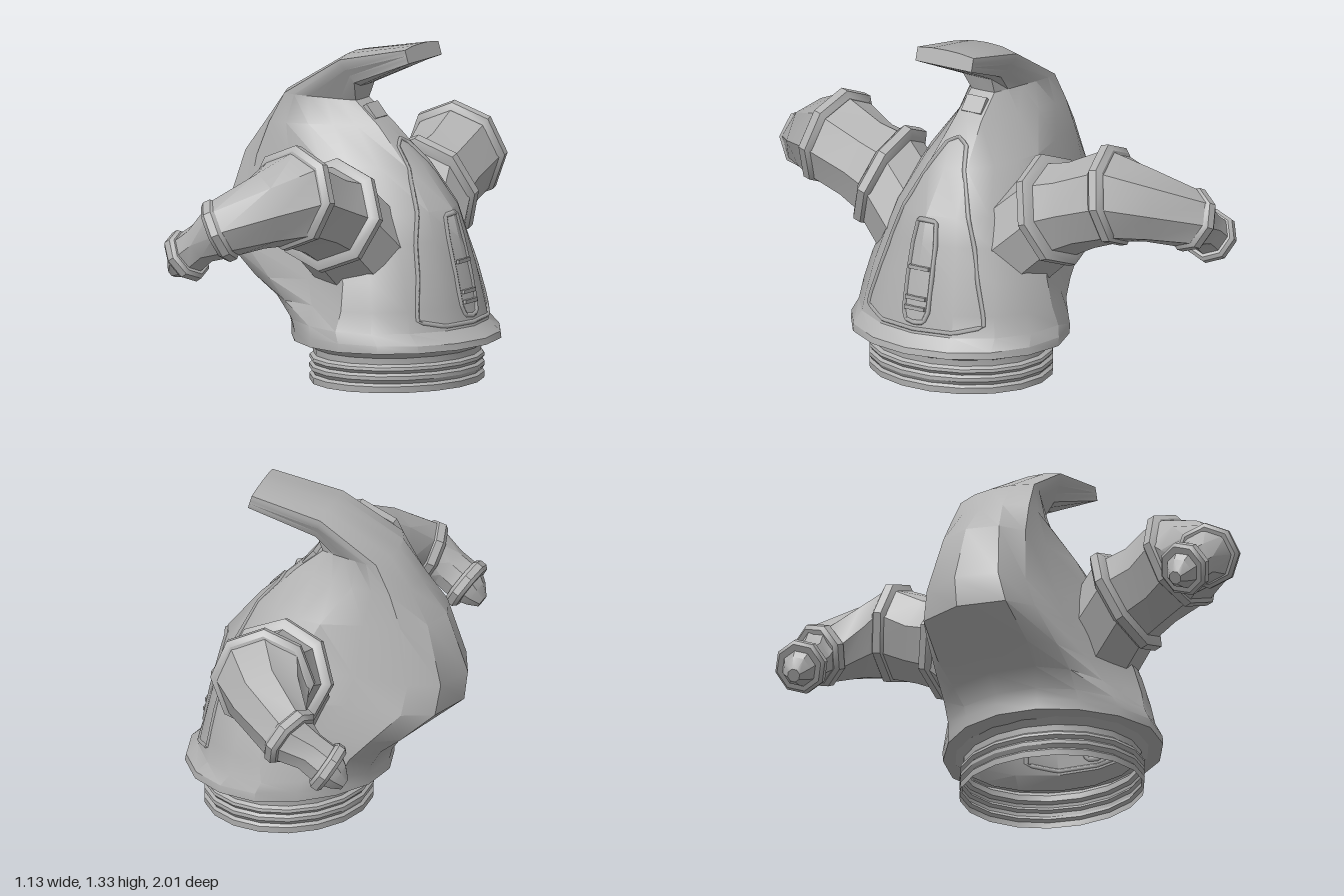
import * as THREE from 'three';
import { toCreasedNormals } from 'three/addons/utils/BufferGeometryUtils.js';

const V = (x, y, z) => new THREE.Vector3(x, y, z);
const metal = new THREE.MeshStandardMaterial({ color: 0xb2b2b2, side: THREE.DoubleSide });
metal.name = 'grey metal';

// Skin closed loops of points, optionally capping either end
function loft(rings, capStart, capEnd, crease = 0.6) {
  const pos = [];
  const tri = (...p) => p.forEach(v => pos.push(v.x, v.y, v.z));
  const n = rings[0].length;
  for (let i = 0; i < rings.length - 1; i++) {
    for (let j = 0; j < n; j++) {
      const k = (j + 1) % n, a = rings[i], b = rings[i + 1];
      tri(a[j], a[k], b[j]);
      tri(a[k], b[k], b[j]);
    }
  }
  const first = rings[0], last = rings[rings.length - 1];
  for (let j = 1; j < n - 1; j++) {
    if (capStart) tri(first[0], first[j + 1], first[j]);
    if (capEnd) tri(last[0], last[j], last[j + 1]);
  }
  const g = new THREE.BufferGeometry();
  g.setAttribute('position', new THREE.Float32BufferAttribute(pos, 3));
  return toCreasedNormals(g, crease);
}

function add(parent, name, geometry) {
  const mesh = new THREE.Mesh(geometry, metal);
  mesh.name = name;
  parent.add(mesh);
  return mesh;
}

// Body sections: front x,y, back x,y, half width, shape (0 round, 1 humped, 2 wedge, 3 square)
const sections = [
  [0.48, 0.155, -0.17, 0.155, 0.37, 0],
  [0.565, 0.165, -0.25, 0.165, 0.45, 0],
  [0.56, 0.19, -0.25, 0.21, 0.45, 0],
  [0.51, 0.235, -0.26, 0.25, 0.435, 0.1],
  [0.495, 0.32, -0.31, 0.32, 0.415, 0.5],
  [0.47, 0.45, -0.41, 0.39, 0.385, 0.9],
  [0.44, 0.58, -0.555, 0.51, 0.345, 1],
  [0.41, 0.69, -0.57, 0.63, 0.3, 1],
  [0.28, 0.85, -0.485, 0.87, 0.24, 1.3],
  [0.12, 1.0, -0.38, 1.0, 0.185, 1.9],
  [0.01, 1.09, -0.29, 1.12, 0.167, 2],
  [0.03, 1.15, -0.02, 1.28, 0.145, 2.3],
  [0.288, 1.268, 0.27, 1.33, 0.13, 3],
];
// Depth fraction and width fraction from front to spine for each shape
const depth = [
  [0, 0.04, 0.15, 0.31, 0.5, 0.69, 0.85, 0.96, 1],
  [0, 0.04, 0.13, 0.25, 0.36, 0.6, 0.82, 0.94, 1],
  [0, 0.01, 0.18, 0.36, 0.55, 0.72, 0.86, 0.97, 1],
  [0, 0, 0, 0.3, 0.5, 0.7, 0.85, 0.97, 1],
];
const width = [
  [0, 0.38, 0.71, 0.92, 1, 0.89, 0.66, 0.36, 0],
  [0, 0.38, 0.72, 0.93, 1, 0.76, 0.72, 0.54, 0],
  [0, 0.32, 0.5, 0.66, 0.84, 0.98, 1, 0.5, 0],
  [0, 0.5, 1, 1, 1, 1, 1, 0.5, 0],
];
function sectionPoint(i, j, side) {
  const [fx, fy, bx, by, w, shape] = sections[i];
  const a = Math.min(2, Math.floor(shape));
  const t = THREE.MathUtils.lerp(depth[a][j], depth[a + 1][j], shape - a);
  const z = THREE.MathUtils.lerp(width[a][j], width[a + 1][j], shape - a);
  return V(fx + (bx - fx) * t, fy + (by - fy) * t, side * w * z);
}
// Point on the body skin at fractional section and column
function skin(i, j, side) {
  const a = Math.floor(i), b = Math.floor(j);
  const low = sectionPoint(a, b, side).lerp(sectionPoint(a, b + 1, side), j - b);
  const high = sectionPoint(a + 1, b, side).lerp(sectionPoint(a + 1, b + 1, side), j - b);
  return low.lerp(high, i - a);
}
function bodyRing(_, i) {
  const ring = [];
  for (let j = 0; j <= 8; j++) ring.push(sectionPoint(i, j, -1));
  for (let j = 7; j >= 1; j--) ring.push(sectionPoint(i, j, 1));
  return ring;
}

// Closed bead following the skin, mirrored about the centre line
function bead(parent, name, half, radius) {
  const pts = half.map(([i, j]) => skin(i, j, 1));
  for (const [i, j] of half.slice(1, -1).reverse()) pts.push(skin(i, j, -1));
  const path = new THREE.CurvePath();
  pts.forEach((p, k) => path.add(new THREE.LineCurve3(p, pts[(k + 1) % pts.length])));
  add(parent, name, new THREE.TubeGeometry(path, 80, radius, 4, true));
}

// Octagonal tube through stations [x, y, z, radius, axis x, y, z]
function octTube(stations, side, capStart, capEnd) {
  return loft(stations.map(([x, y, z, r, nx, ny, nz]) => {
    const n = V(nx, ny, nz * side).normalize();
    const u = V(0, 1, 0).cross(n).normalize(), v = n.clone().cross(u);
    return Array.from({ length: 8 }, (_, k) => {
      const a = k * Math.PI / 4;
      return V(x, y, z * side).addScaledVector(u, r * Math.cos(a)).addScaledVector(v, r * Math.sin(a));
    });
  }), capStart, capEnd);
}
// Bevelled collar centred on a station
function collar([x, y, z, r, nx, ny, nz], thick, side) {
  const n = V(nx, ny, nz).normalize();
  const at = (d, k) => [x + n.x * d, y + n.y * d, z + n.z * d, r * k, nx, ny, nz];
  return octTube([at(-thick, 0.88), at(-thick * 0.5, 1), at(thick * 0.5, 1), at(thick, 0.88)], side, true, true);
}

function buildArm(side) {
  const arm = new THREE.Group();
  arm.name = side > 0 ? 'leftArm' : 'rightArm';
  const up = [0.05, 0.36, 0.93], bend = [-0.16, 0.2, 1], wrist = [-0.85, -0.42, 0.32], hand = [-0.8, -0.52, -0.08];
  add(arm, 'shoulder', octTube([
    [0.115, 0.56, 0.25, 0.205, ...up], [0.08, 0.68, 0.38, 0.2, ...up]], side));
  add(arm, 'shoulderCollar', collar([0.08, 0.69, 0.385, 0.226, ...up], 0.032, side));
  add(arm, 'upperArm', octTube([
    [0.08, 0.69, 0.39, 0.19, ...up], [0.075, 0.73, 0.5, 0.175, ...up], [0.06, 0.79, 0.64, 0.188, ...bend]], side));
  add(arm, 'elbowCollar', collar([0.06, 0.795, 0.645, 0.205, ...bend], 0.032, side));
  add(arm, 'forearm', octTube([
    [0.06, 0.795, 0.655, 0.188, ...bend], [-0.01, 0.755, 0.76, 0.15, -0.55, -0.1, 0.8],
    [-0.11, 0.695, 0.875, 0.118, ...wrist]], side));
  add(arm, 'wristCollar', collar([-0.125, 0.685, 0.882, 0.128, ...wrist], 0.03, side));
  add(arm, 'wrist', octTube([
    [-0.13, 0.68, 0.885, 0.11, ...wrist], [-0.205, 0.63, 0.878, 0.082, ...hand],
    [-0.265, 0.585, 0.874, 0.085, ...hand]], side));
  add(arm, 'nozzleCollar', collar([-0.28, 0.572, 0.873, 0.107, ...hand], 0.027, side));
  add(arm, 'nozzle', octTube([
    [-0.295, 0.56, 0.872, 0.075, ...hand], [-0.32, 0.535, 0.87, 0.058, ...hand],
    [-0.347, 0.505, 0.868, 0.026, ...hand]], side, false, true));
  return arm;
}

export function createModel() {
  const model = new THREE.Group();
  model.name = 'hoodedTorso';
  add(model, 'bodyAndHood', loft(sections.map(bodyRing), false, true, 0.55));

  // Ribbed open neck under the body
  const profile = [[0.328, 0], [0.33, 0.025], [0.32, 0.035], [0.33, 0.05], [0.33, 0.065], [0.32, 0.075],
    [0.33, 0.088], [0.328, 0.1], [0.316, 0.11], [0.318, 0.135], [0.345, 0.16]];
  const neck = new THREE.LatheGeometry(profile.map(p => new THREE.Vector2(...p)), 18);
  neck.scale(1, 1, 1.14).translate(0.162, 0, 0);
  add(model, 'neckRing', toCreasedNormals(neck, 0.5));

  // Raised border of the front panel
  bead(model, 'panelBorder', [[3.2, 0], [3.2, 1], [3.5, 1.75], [4, 1.75], [5, 1.6], [6, 1.5], [7, 1.35],
    [8, 0.9], [8.5, 0.6], [8.65, 0]], 0.009);
  // Slot with crossbars down the middle of the panel
  bead(model, 'slotFrame', [[3.5, 0], [3.55, 0.25], [4, 0.35], [5, 0.38], [6, 0.4], [6.8, 0.35], [6.85, 0]], 0.01);
  for (const i of [4.1, 4.4, 5.3]) {
    const bar = add(model, 'slotBar', new THREE.BoxGeometry(0.012, 0.015, 0.09));
    bar.position.copy(skin(i, 0, 1));
  }
  // Small latch below the hood
  const latch = add(model, 'hoodLatch', new THREE.BoxGeometry(0.07, 0.07, 0.09));
  latch.position.set(0.045, 1.03, 0);
  latch.rotation.z = 0.7;

  model.add(buildArm(1), buildArm(-1));
  return model;
}
